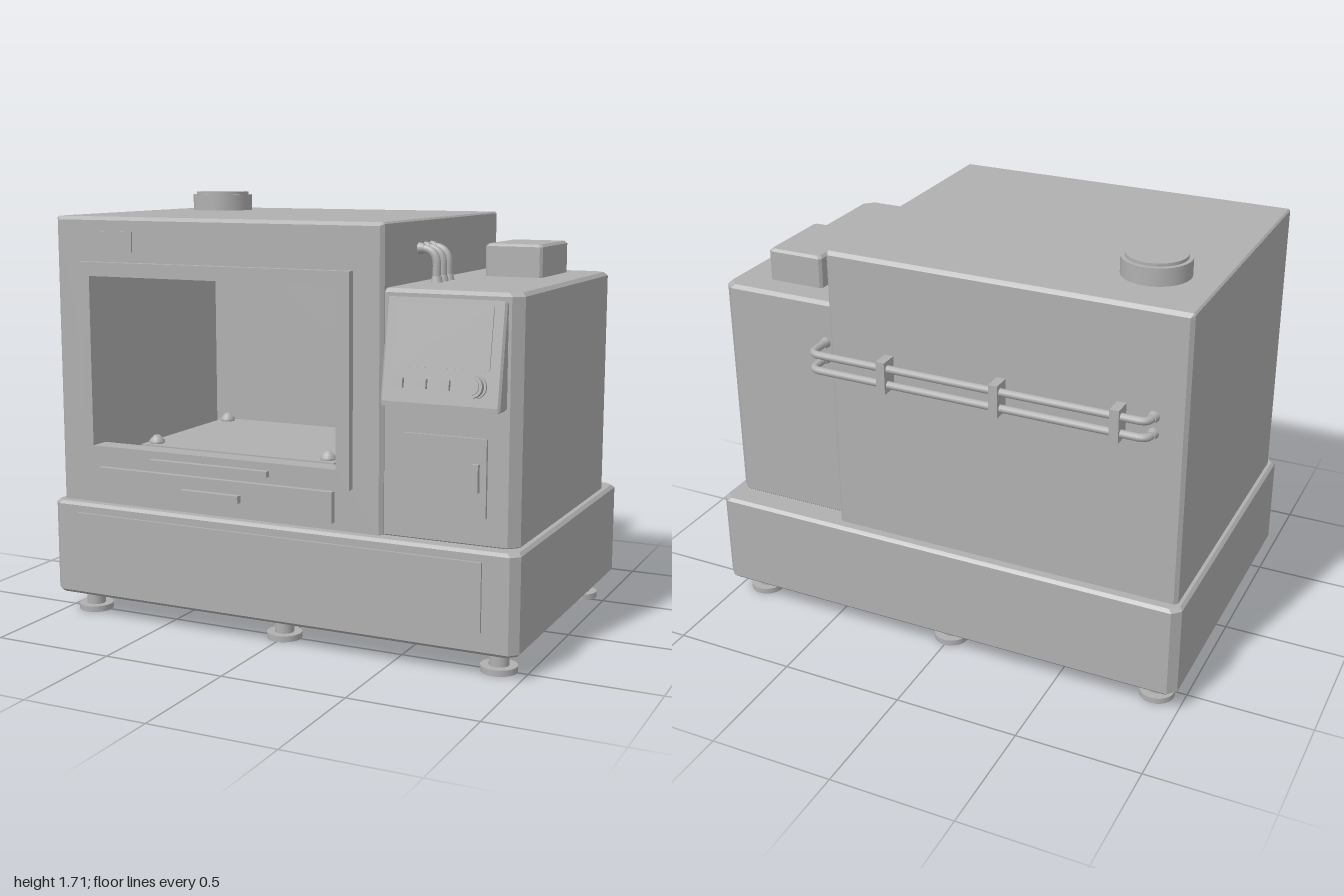
import * as THREE from 'three';

const grey = new THREE.MeshStandardMaterial({ color: 0xb0b0b0 });
grey.name = 'matte grey';

// Skins a row of chamfered rectangles [x0, x1, y0, y1, z, chamfer], flat shaded
function loft(sections) {
  const loops = sections.map(([x0, x1, y0, y1, z, c]) => [
    [x0 + c, y0], [x1 - c, y0], [x1, y0 + c], [x1, y1 - c],
    [x1 - c, y1], [x0 + c, y1], [x0, y1 - c], [x0, y0 + c],
  ].map(([x, y]) => new THREE.Vector3(x, y, z)));
  const points = [];
  const face = (...t) => {
    if (new THREE.Triangle(...t).getArea() > 1e-8) points.push(...t);
  };
  for (let k = 0; k + 1 < loops.length; k++) {
    for (let i = 0; i < 8; i++) {
      const j = (i + 1) % 8, a = loops[k], b = loops[k + 1];
      face(a[i], a[j], b[j]);
      face(a[i], b[j], b[i]);
    }
  }
  const geometry = new THREE.BufferGeometry().setFromPoints(points);
  geometry.computeVertexNormals();
  return geometry;
}

// Upright block with chamfered corners and bevelled rims
function block(x0, x1, y0, y1, z0, z1, corner, bevel) {
  const cx = (x0 + x1) / 2, cz = -(z0 + z1) / 2, b = bevel;
  const inner = (y) => [x0 + b, x1 - b, -z1 + b, -z0 - b, y, corner];
  const outer = (y) => [x0, x1, -z1, -z0, y, corner];
  const tip = (y) => [cx, cx, cz, cz, y, 0];
  return loft([tip(y0), inner(y0), outer(y0 + b), outer(y1 - b), inner(y1), tip(y1)])
    .rotateX(-Math.PI / 2);
}

function box(x0, x1, y0, y1, z0, z1) {
  return new THREE.BoxGeometry(x1 - x0, y1 - y0, z1 - z0)
    .translate((x0 + x1) / 2, (y0 + y1) / 2, (z0 + z1) / 2);
}

function add(parent, name, geometry, x = 0, y = 0, z = 0) {
  const mesh = new THREE.Mesh(geometry, grey);
  mesh.name = name;
  mesh.position.set(x, y, z);
  parent.add(mesh);
  return mesh;
}

// Straight runs joined by rounded corners of radius r
function roundedPath(points, r) {
  const p = points.map((q) => new THREE.Vector3(...q));
  const path = new THREE.CurvePath();
  let from = p[0];
  for (let i = 1; i < p.length - 1; i++) {
    const a = p[i].clone().add(p[i - 1].clone().sub(p[i]).setLength(r));
    const b = p[i].clone().add(p[i + 1].clone().sub(p[i]).setLength(r));
    path.add(new THREE.LineCurve3(from, a));
    path.add(new THREE.QuadraticBezierCurve3(a, p[i], b));
    from = b;
  }
  path.add(new THREE.LineCurve3(from, p[p.length - 1]));
  return path;
}

// Pipe with a flared collar at both ends
function pipe(parent, name, points, radius, bend, segments) {
  const group = new THREE.Group();
  group.name = name;
  add(group, 'tube', new THREE.TubeGeometry(roundedPath(points, bend), segments, radius, 12));
  const n = points.length - 1;
  for (const [end, next] of [[0, 1], [n, n - 1]]) {
    const at = new THREE.Vector3(...points[end]);
    const dir = new THREE.Vector3(...points[next]).sub(at).normalize();
    const collar = add(group, 'collar', new THREE.CylinderGeometry(radius + 0.002, radius + 0.009, 0.03, 12));
    collar.position.copy(at).addScaledVector(dir, 0.012);
    collar.quaternion.setFromUnitVectors(new THREE.Vector3(0, 1, 0), dir);
  }
  parent.add(group);
}

export function createModel() {
  const model = new THREE.Group();
  model.name = 'enclosedMachine';

  // Base with drawer panel and levelling feet
  add(model, 'base', block(-1, 1, 0.095, 0.48, -0.664, 0.637, 0.032, 0.012));
  add(model, 'basePanel', box(-0.87, 0.865, 0.18, 0.44, 0.63, 0.647));
  const footProfile = [[0, 0], [0.07, 0], [0.07, 0.026], [0.038, 0.026], [0.038, 0.1]]
    .map(([r, y]) => new THREE.Vector2(r, y));
  for (const x of [-0.89, 0, 0.89]) {
    for (const z of [0.505, -0.535]) {
      const foot = new THREE.Group();
      foot.name = 'foot';
      foot.position.set(x, 0, z);
      add(foot, 'footPad', new THREE.CylinderGeometry(0.07, 0.07, 0.024, 24), 0, 0.012, 0);
      add(foot, 'footStem', new THREE.CylinderGeometry(footProfile[3].x, 0.038, 0.08, 24), 0, 0.062, 0);
      model.add(foot);
    }
  }

  // Hollow main cabinet: outer skin, window opening and chamber in one surface
  const e = 0.014;
  add(model, 'mainCabinet', loft([
    [-0.26, -0.26, 1.05, 1.05, -0.619, 0],
    [-0.975 + e, 0.455 - e, 0.47, 1.632 - e, -0.619, 0],
    [-0.975, 0.455, 0.47, 1.632, -0.619 + e, e / 2],
    [-0.975, 0.455, 0.47, 1.632, 0.591 - e, e / 2],
    [-0.975 + e, 0.455 - e, 0.47, 1.632 - e, 0.591, 0],
    [-0.8, 0.28, 0.72, 1.4, 0.591, 0],
    [-0.8, 0.28, 0.72, 1.4, 0.54, 0],
    [-0.915, 0.395, 0.56, 1.57, 0.54, 0],
    [-0.915, 0.395, 0.56, 1.57, -0.55, 0],
    [-0.26, -0.26, 1.05, 1.05, -0.55, 0],
  ]));

  // Window frame and front fittings
  const rect = (S, x0, x1, y0, y1) => new S([[x0, y0], [x1, y0], [x1, y1], [x0, y1]]
    .map(([x, y]) => new THREE.Vector2(x, y)));
  const frame = rect(THREE.Shape, -0.86, 0.335, 0.645, 1.455);
  frame.holes.push(rect(THREE.Path, -0.8, 0.28, 0.72, 1.4));
  add(model, 'windowFrame', new THREE.ExtrudeGeometry(frame, { depth: 0.033, bevelEnabled: false }), 0, 0, 0.59);
  add(model, 'windowHandle', box(-0.525, 0, 0.667, 0.69, 0.62, 0.648));
  add(model, 'namePlate', box(-0.835, -0.615, 1.495, 1.575, 0.59, 0.598));
  add(model, 'tray', box(-0.785, 0.26, 0.51, 0.63, 0.585, 0.615));
  add(model, 'trayHandle', box(-0.39, -0.13, 0.55, 0.58, 0.61, 0.64));

  // Work bed with corner knobs
  add(model, 'bed', box(-0.7, 0.18, 0.625, 0.7, -0.25, 0.43));
  add(model, 'bedSupport', box(-0.55, 0.03, 0.555, 0.63, -0.15, 0.33));
  const knobProfile = [[0.03, 0], [0.033, 0.01], [0.022, 0.022], [0.012, 0.033], [0, 0.035]]
    .map(([r, y]) => new THREE.Vector2(r, y));
  for (const x of [-0.655, 0.13]) {
    for (const z of [0.38, -0.2]) {
      add(model, 'bedKnob', new THREE.LatheGeometry(knobProfile, 20), x, 0.7, z);
    }
  }

  // Roof vent
  add(model, 'ventCollar', new THREE.CylinderGeometry(0.13, 0.13, 0.08, 40), -0.73, 1.66, -0.312);
  add(model, 'ventCap', new THREE.CylinderGeometry(0.114, 0.114, 0.03, 40), -0.73, 1.697, -0.312);

  // Side cabinet with door and top box
  add(model, 'sideCabinet', block(0.41, 0.974, 0.47, 1.396, -0.556, 0.573, 0.037, 0.014));
  add(model, 'topBox', block(0.59, 0.825, 1.38, 1.525, -0.44, -0.1, 0.01, 0.01));
  add(model, 'sideDoor', box(0.535, 0.857, 0.585, 0.875, 0.57, 0.586));
  add(model, 'sideDoorHandle', box(0.807, 0.832, 0.68, 0.783, 0.58, 0.606));

  // Tilted control console, a side profile swept across x
  const b = 0.008;
  const side = new THREE.Shape([[-0.56, 0.988], [-0.642, 0.988], [-0.642, 0.998], [-0.581, 1.36], [-0.56, 1.36]]
    .map(([x, y]) => new THREE.Vector2(x, y)).reverse());
  add(model, 'console', new THREE.ExtrudeGeometry(side, {
    depth: 0.455 - 2 * b, bevelSize: b, bevelThickness: b, bevelSegments: 1,
  }).rotateY(Math.PI / 2), 0.47 + b, 0, 0);

  // Screen, buttons and dial on the sloping face
  const controls = new THREE.Group();
  controls.name = 'controls';
  controls.position.set(0.6975, 1.17, 0.621);
  controls.rotation.x = -Math.atan(0.061 / 0.362);
  model.add(controls);
  add(controls, 'screen', box(-0.1875, 0.1825, -0.045, 0.182, -0.004, 0.005));
  for (const x of [-0.158, -0.068, 0.02]) {
    add(controls, 'button', new THREE.BoxGeometry(0.038, 0.036, 0.024), x, -0.104, 0.004);
  }
  [[0.042, 0.012, 0.004], [0.026, 0.03, 0.018], [0.04, 0.022, 0.037], [0.03, 0.008, 0.05]]
    .forEach(([r, depth, z]) => add(controls, 'dial',
      new THREE.CylinderGeometry(r, r, depth, 28).rotateX(Math.PI / 2), 0.134, -0.103, z));

  // Hoses between the two cabinets
  for (const z of [0.257, 0.197, 0.137]) {
    pipe(model, 'hose', [[0.45, 1.522, z], [0.528, 1.522, z], [0.528, 1.392, z]], 0.016, 0.065, 28);
  }

  // Rear pipes and their brackets
  for (const y of [1.228, 1.163]) {
    pipe(model, 'rearPipe', [[0.513, y, -0.552], [0.513, y, -0.668], [-0.85, y, -0.668], [-0.85, y, -0.615]],
      0.015, 0.04, 120);
  }
  for (const x of [-0.73, -0.265, 0.197]) {
    add(model, 'pipeBracket', box(x - 0.018, x + 0.018, 1.132, 1.26, -0.692, -0.61));
  }

  return model;
}
